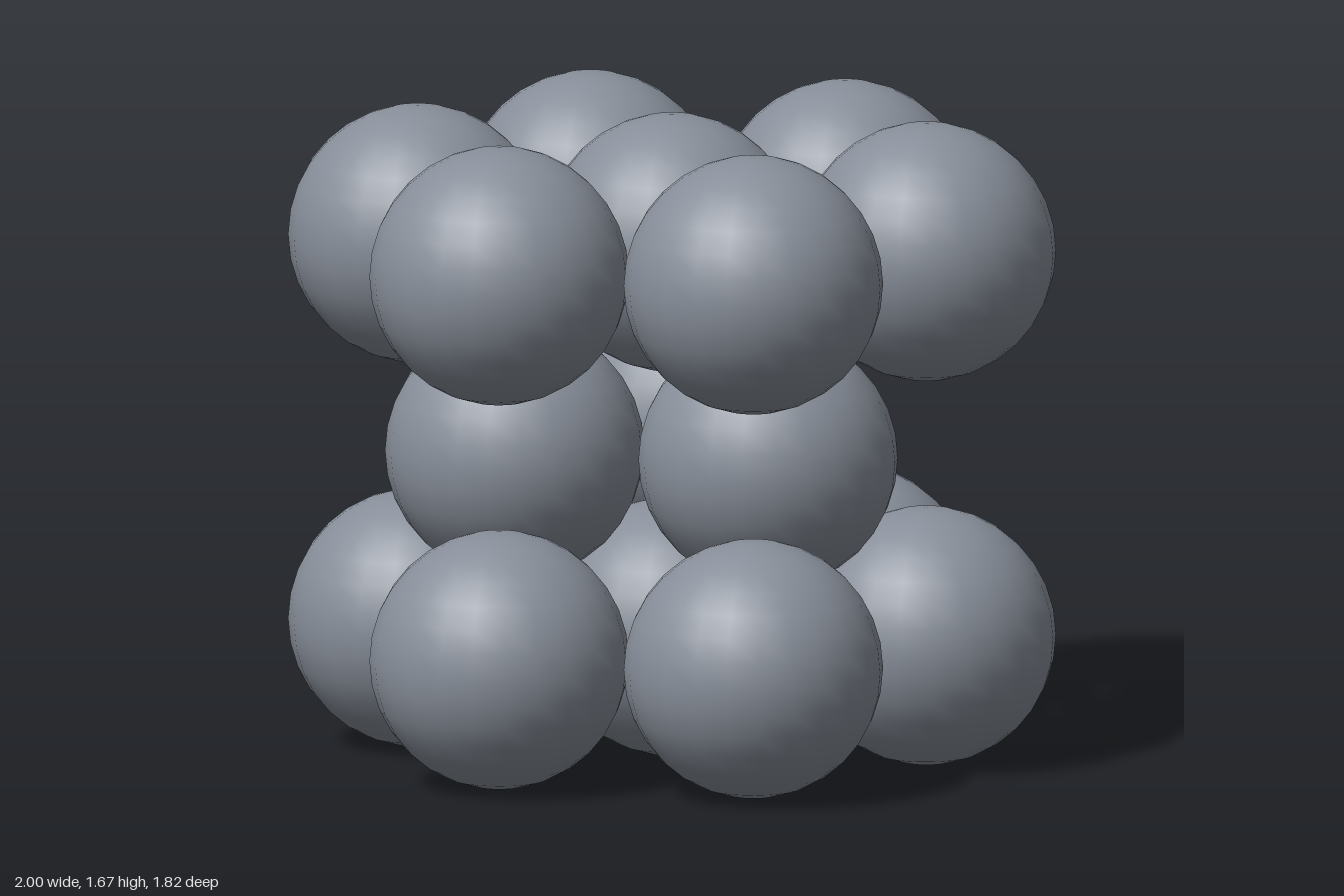
import * as THREE from 'three';

const R = 0.333;

export function createModel() {
  const model = new THREE.Group();
  model.name = 'closePackedSpheres';

  const grey = new THREE.MeshStandardMaterial({ color: 0x878e99 });
  grey.name = 'steel grey';
  const ball = new THREE.SphereGeometry(R, 24, 16);

  function addLayer(name, y, centres) {
    const layer = new THREE.Group();
    layer.name = name;
    centres.forEach(([x, z], i) => {
      const mesh = new THREE.Mesh(ball, grey);
      mesh.name = `${name}Sphere${i + 1}`;
      mesh.position.set(x, y, z);
      layer.add(mesh);
    });
    model.add(layer);
  }

  // Hexagonal layer: one sphere ringed by six touching neighbours
  const hexagon = [[0, 0]];
  for (let i = 0; i < 6; i++) {
    const a = (i * Math.PI) / 3 + 0.008;
    hexagon.push([2 * R * Math.cos(a), -2 * R * Math.sin(a)]);
  }

  // Triangular layer resting in the hollows, slightly off centre
  const triangle = [[-0.375, 0.175], [0.29, 0.175], [-0.04, -0.405]];

  addLayer('bottomLayer', R, hexagon);
  addLayer('middleLayer', 0.81, triangle);
  addLayer('topLayer', 1.333, hexagon);
  return model;
}
